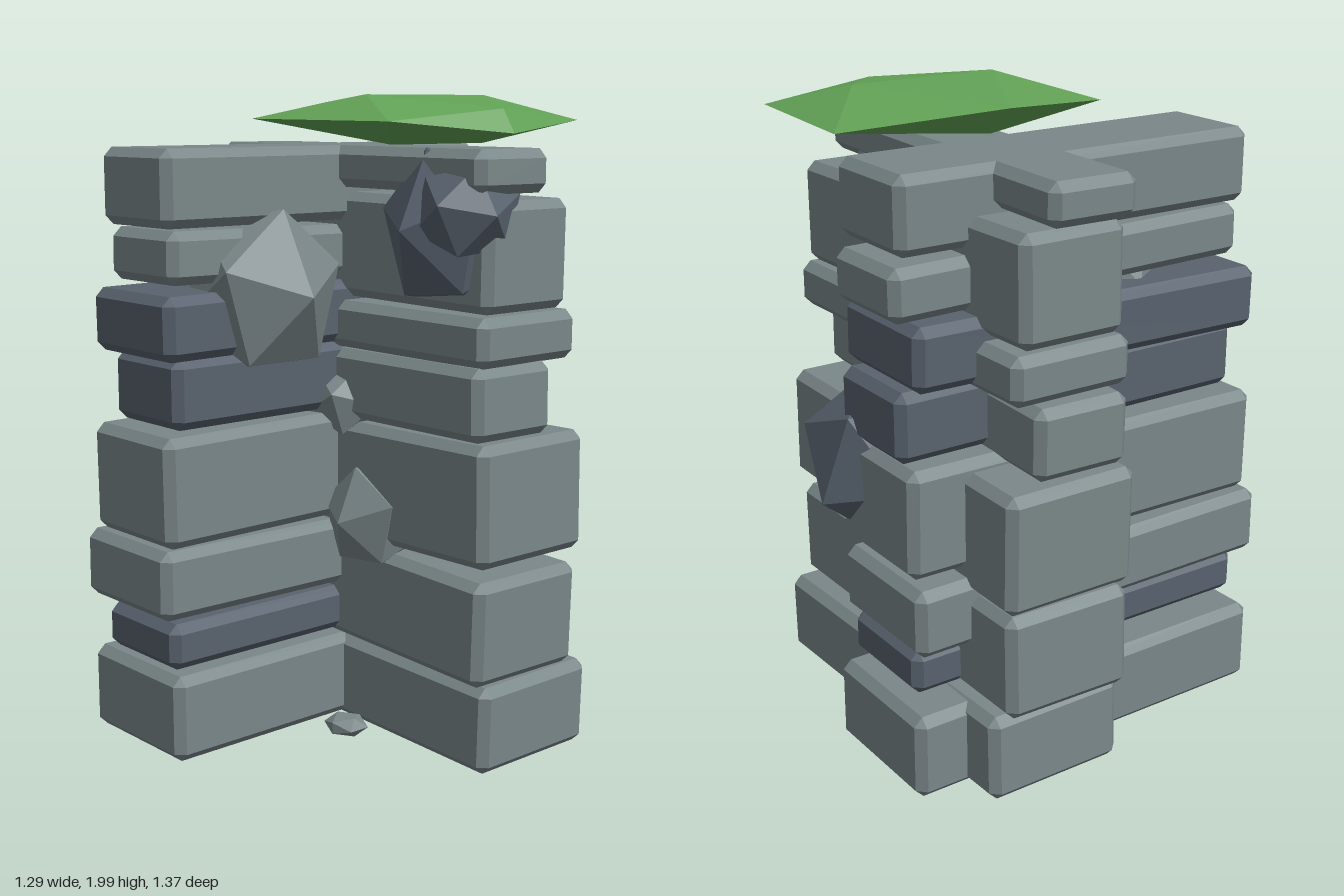
import * as THREE from 'three';
import { ConvexGeometry } from 'three/addons/geometries/ConvexGeometry.js';

const paint = (name, color) => {
  const m = new THREE.MeshStandardMaterial({ color, flatShading: true });
  m.name = name;
  return m;
};

// Box with a single flat chamfer on every edge
function chamferBox(w, h, d, c = 0.027) {
  const pts = [];
  for (const sx of [-1, 1]) for (const sy of [-1, 1]) for (const sz of [-1, 1]) {
    for (let k = 0; k < 3; k++) {
      const cut = [c, c, c];
      cut[k] = 0;
      pts.push(new THREE.Vector3(sx * (w / 2 - cut[0]), sy * (h / 2 - cut[1]), sz * (d / 2 - cut[2])));
    }
  }
  return new ConvexGeometry(pts);
}

export function createModel() {
  const model = new THREE.Group();
  model.name = 'ruinedWallCorner';
  const stone = paint('stone grey', 0x7a8789);
  const dark = paint('dark slate', 0x58626e);
  const moss = paint('moss green', 0x62a256);

  const add = (name, geometry, material) => {
    const mesh = new THREE.Mesh(geometry, material);
    mesh.name = name;
    model.add(mesh);
    return mesh;
  };

  const block = (name, mat, [x0, x1], [y0, y1], [z0, z1], yaw, roll, pitch) => {
    const mesh = add(name, chamferBox(x1 - x0, y1 - y0, z1 - z0), mat);
    mesh.position.set((x0 + x1) / 2, (y0 + y1) / 2, (z0 + z1) / 2);
    mesh.rotation.set(pitch, yaw, roll);
  };

  // Courses of the wall running side to side: x, y, z ranges, yaw, roll
  const crossCourses = [
    [[-0.6, 0.62], [0.025, 0.295], [-0.47, -0.01], 0.015, -0.025],
    [[-0.64, 0.62], [0.3, 0.62], [-0.42, 0.0], -0.01, -0.025],
    [[-0.625, 0.63], [0.64, 1.005], [-0.425, 0.015], 0.01, 0.015],
    [[-0.61, 0.62], [1.015, 1.23], [-0.3, 0.01], -0.02, 0.012],
    [[-0.59, 0.62], [1.235, 1.38], [-0.385, 0.015], 0.01, 0],
    [[-0.6, 0.6], [1.39, 1.71], [-0.365, -0.02], 0.01, -0.01],
    [[-0.635, 0.625], [1.725, 1.85], [-0.27, 0.01], -0.03, 0],
  ];
  crossCourses.forEach(([x, y, z, yaw, roll], i) =>
    block('crossWallBlock' + (i + 1), stone, x, y, z, yaw, roll, 0));

  // Courses of the wall running front to back: x, y, z ranges, yaw, pitch
  const longCourses = [
    [stone, [-0.46, 0], [0.035, 0.3], [-0.63, 0.645], 0.015, 0],
    [dark, [-0.37, -0.01], [0.32, 0.46], [-0.58, 0.645], 0.01, 0],
    [stone, [-0.43, 0], [0.475, 0.685], [-0.6, 0.68], 0.012, -0.008],
    [stone, [-0.4, 0], [0.7, 1.03], [-0.6, 0.66], 0.01, 0.01],
    [dark, [-0.345, -0.015], [1.04, 1.25], [-0.6, 0.615], 0.01, 0],
    [dark, [-0.405, 0], [1.25, 1.44], [-0.57, 0.645], 0, 0.012],
    [stone, [-0.345, -0.02], [1.455, 1.61], [-0.61, 0.62], 0.01, -0.012],
    [stone, [-0.34, 0], [1.625, 1.85], [-0.58, 0.645], 0, 0],
  ];
  longCourses.forEach(([mat, x, y, z, yaw, pitch], i) =>
    block('longWallBlock' + (i + 1), mat, x, y, z, yaw, 0, pitch));

  // Faceted boulders wedged in the wall: centre, radii, rotation
  const rock = (name, mat, centre, radii, rot) => {
    const g = new THREE.IcosahedronGeometry(1, 0);
    g.applyMatrix4(new THREE.Matrix4().makeRotationFromEuler(new THREE.Euler(...rot)));
    g.scale(...radii);
    add(name, g, mat).position.set(...centre);
  };
  const tip = 0.554;
  rock('innerCornerRock', stone, [-0.08, 1.42, 0.25], [0.25, 0.28, 0.25], [Math.PI / 2, tip, 0]);
  rock('smallCornerRock', stone, [-0.03, 1.06, -0.05], [0.14, 0.13, 0.14], [Math.PI / 2, tip, 0]);
  rock('lowerCornerRock', stone, [0.1, 0.71, -0.05], [0.18, 0.18, 0.16], [-tip, 0, 0.1]);
  rock('upperFrontRock', dark, [0.39, 1.62, -0.1], [0.22, 0.26, 0.23], [-tip, 0, 0.1]);
  rock('upperEndRock', dark, [0.5, 1.67, -0.04], [0.15, 0.15, 0.17], [Math.PI / 2, tip, 0.2]);
  rock('backRock', dark, [0, 0.93, -0.45], [0.26, 0.27, 0.25], [0.2, 0.3, 0.2]);
  rock('pebble', stone, [0.185, 0.092, 0.14], [0.075, 0.034, 0.065], [0, 0, 0]);

  // Flattened moss clump on top
  const mossPoints = [
    [0.19, 2, 0.07], [0.19, 2, -0.41], [0.2, 1.855, -0.02], [0.2, 1.855, -0.4],
    [-0.28, 1.98, -0.18], [-0.18, 1.895, -0.18], [0.5, 1.96, -0.18], [0.545, 1.89, -0.18],
    [-0.1, 1.93, -0.63], [0.43, 1.925, -0.575], [0.41, 1.925, 0.18], [-0.09, 1.93, 0.27],
  ];
  add('mossClump', new ConvexGeometry(mossPoints.map((p) => new THREE.Vector3(...p))), moss);

  return model;
}
